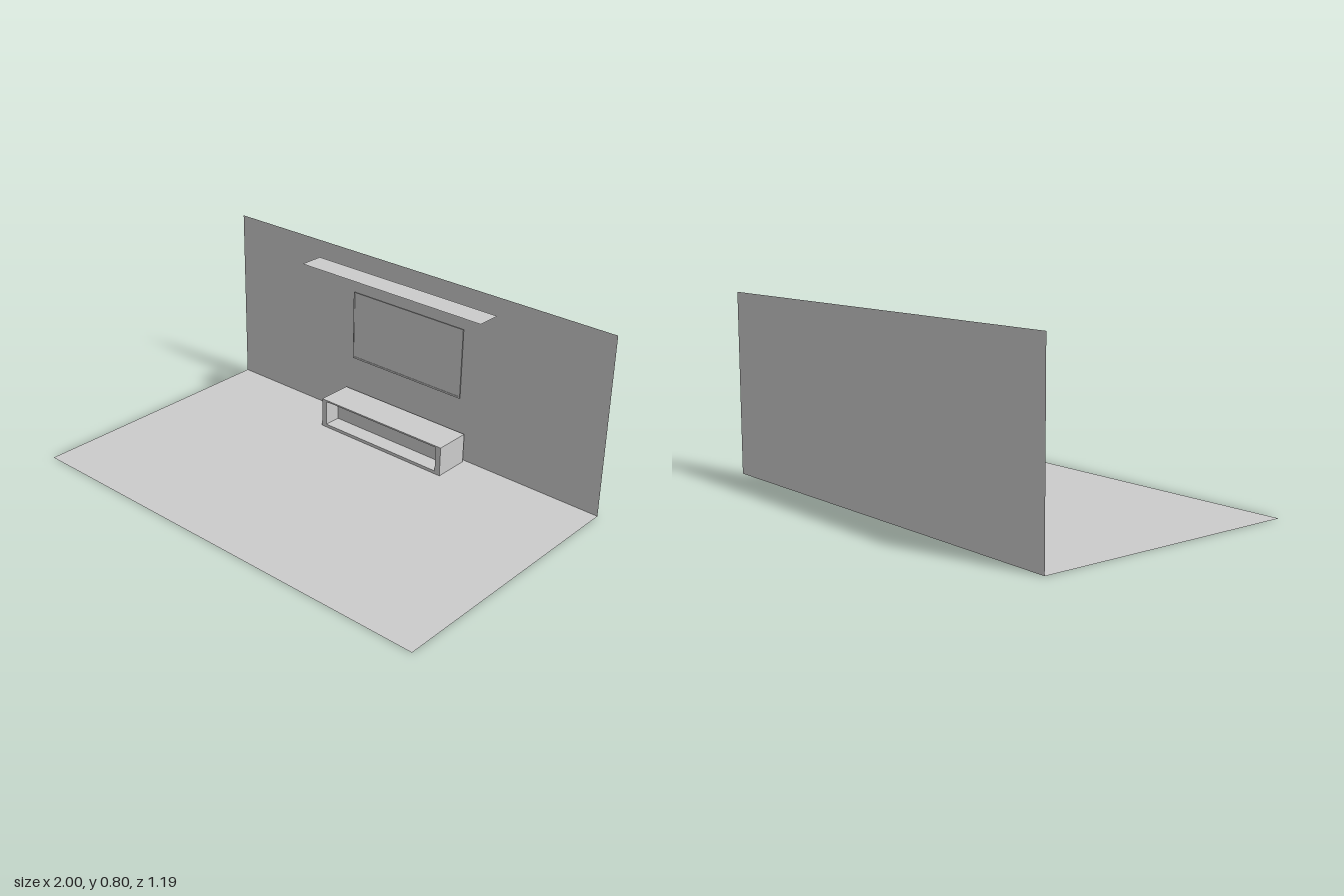
import * as THREE from 'three';

const grey = new THREE.MeshStandardMaterial({ color: 0xcccccc, side: THREE.DoubleSide, flatShading: true });

function add(parent, name, geometry, x, y, z) {
  const mesh = new THREE.Mesh(geometry, grey);
  mesh.name = name;
  mesh.position.set(x, y, z);
  parent.add(mesh);
  return mesh;
}

// Rectangular frame extruded towards +z from z = 0; edges are [left, bottom, right, top]
function frame(outer, inner, depth) {
  const corners = ([l, b, r, t]) => [[l, b], [r, b], [r, t], [l, t]].map((p) => new THREE.Vector2(...p));
  const shape = new THREE.Shape(corners(outer));
  shape.holes.push(new THREE.Path(corners(inner).reverse()));
  return new THREE.ExtrudeGeometry(shape, { depth, bevelEnabled: false });
}

export function createModel() {
  const model = new THREE.Group();
  model.name = 'televisionCorner';

  // Room: thin floor and back wall
  add(model, 'floor', new THREE.PlaneGeometry(2, 1.19), 0, 0, 0).rotation.x = -Math.PI / 2;
  add(model, 'backWall', new THREE.PlaneGeometry(2, 0.8), 0, 0.4, -0.595);

  // Flat shelf above the screen
  add(model, 'shelf', new THREE.PlaneGeometry(0.96, 0.11), 0, 0.74, -0.497).rotation.x = -Math.PI / 2;

  // Television: body tapering to the back, slim bezel and inset display
  const television = new THREE.Group();
  television.name = 'television';
  const body = new THREE.BoxGeometry(0.6, 0.32, 0.006);
  const p = body.attributes.position;
  for (let i = 0; i < p.count; i++) {
    if (p.getZ(i) < 0) p.setXY(i, p.getX(i) * 0.973, p.getY(i) * 0.96);
  }
  body.computeVertexNormals();
  add(television, 'televisionBody', body, 0, 0.456, -0.585);
  add(television, 'bezel', frame([-0.3, 0.296, 0.3, 0.616], [-0.295, 0.304, 0.295, 0.611], 0.004), 0, 0, -0.582);
  add(television, 'display', new THREE.PlaneGeometry(0.59, 0.307), 0, 0.4575, -0.58);
  add(television, 'indicator', new THREE.BoxGeometry(0.01, 0.003, 0.001), 0, 0.3, -0.578);
  model.add(television);

  // Low cabinet: open-fronted surround with a solid rear half
  const cabinet = new THREE.Group();
  cabinet.name = 'cabinet';
  add(cabinet, 'cabinetSurround', frame([-0.336, 0.003, 0.336, 0.138], [-0.31, 0.017, 0.31, 0.131], 0.078), 0, 0, -0.491);
  add(cabinet, 'cabinetBack', new THREE.BoxGeometry(0.672, 0.135, 0.086), 0, 0.0705, -0.534);
  model.add(cabinet);

  return model;
}
